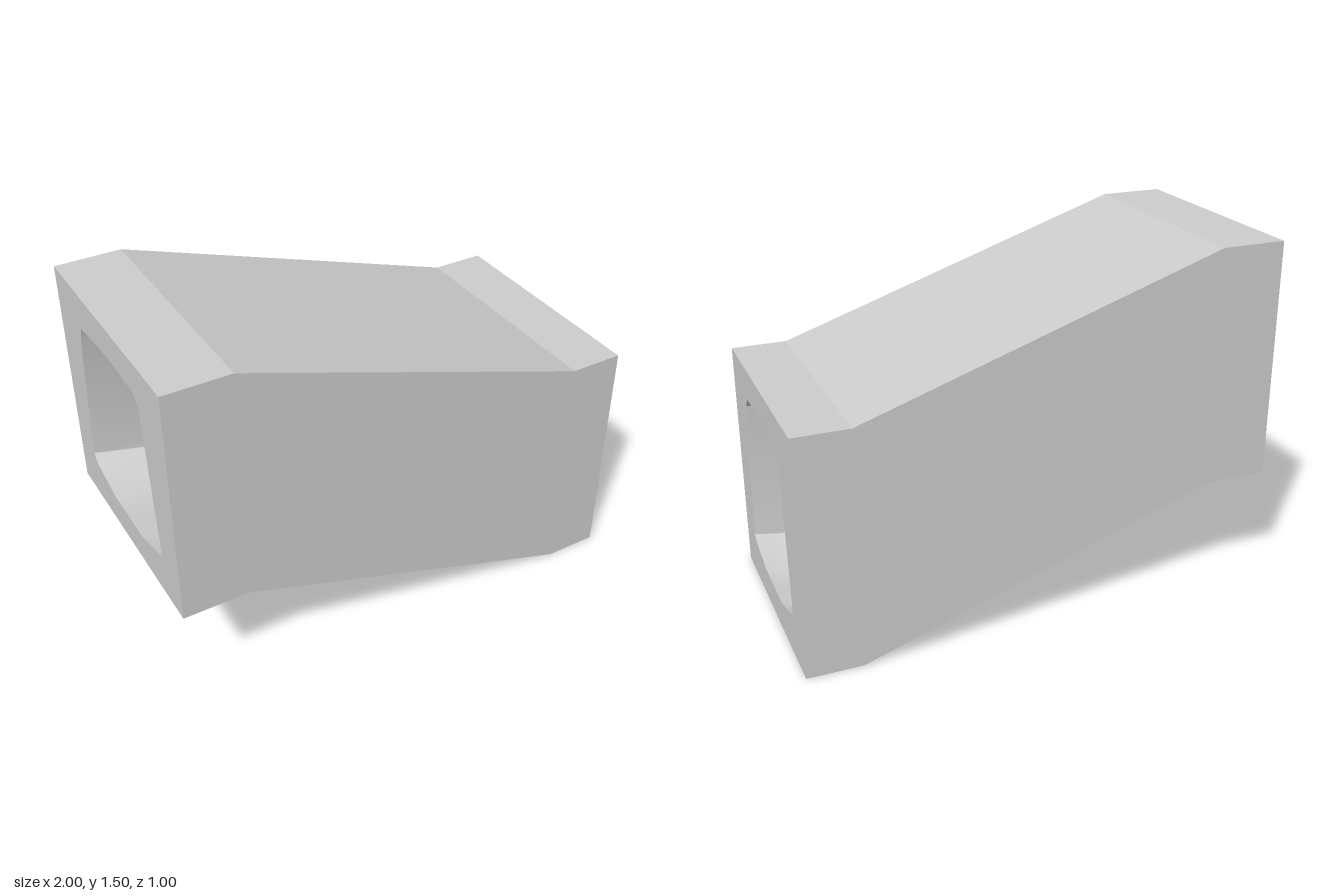
import * as THREE from 'three';
import { toCreasedNormals } from 'three/addons/utils/BufferGeometryUtils.js';

// Cross-sections are [z, y] loops relative to the duct's underside.
const OUTER = [[0.5, 0], [-0.5, 0], [-0.5, 1], [0.5, 1]];
const MOUTH = [[0, 0.13], [0.14, 0.13], [0.31, 0.175], [0.345, 0.195], [0.285, 0.82], [0.24, 0.865],
  [0, 0.875], [-0.26, 0.85], [-0.29, 0.78], [-0.345, 0.21], [-0.31, 0.175], [-0.14, 0.13]];
const THROAT = [[0, 0.1], [0.14, 0.133], [0.31, 0.175], [0.315, 0.195], [0.255, 0.8], [0.21, 0.835],
  [0, 0.845], [-0.23, 0.82], [-0.255, 0.76], [-0.315, 0.21], [-0.31, 0.175], [-0.14, 0.133]];
// Throat with its upper +z corner still as wide as the mouth: makes the small wall step
const STEP = THROAT.map((p, i) => (i === 4 || i === 5 ? MOUTH[i] : p));

// Skin a list of { x, rise, loop } rings
function loft(rings, crease) {
  const pos = [], index = [], n = rings[0].loop.length;
  for (const { x, rise, loop } of rings) {
    for (const [z, y] of loop) pos.push(x, y + rise, z);
  }
  for (let r = 0; r < rings.length - 1; r++) {
    for (let i = 0; i < n; i++) {
      const a = r * n + i, b = r * n + (i + 1) % n;
      index.push(a, b, b + n, a, b + n, a + n);
    }
  }
  const g = new THREE.BufferGeometry();
  g.setAttribute('position', new THREE.Float32BufferAttribute(pos, 3));
  g.setIndex(index);
  g.computeVertexNormals();
  return toCreasedNormals(g, crease);
}

// Square end face pierced by the tunnel mouth; side is +1 or -1 along x
function endFace(side, rise) {
  const pts = (loop) => loop.map(([z, y]) => new THREE.Vector2(-side * z, y + rise));
  const shape = new THREE.Shape(pts(OUTER));
  shape.holes.push(new THREE.Path(pts(MOUTH)));
  return new THREE.ShapeGeometry(shape).rotateY(side * Math.PI / 2).translate(side, 0, 0);
}

export function createModel() {
  const group = new THREE.Group();
  group.name = 'slopedTunnelBlock';
  const material = new THREE.MeshStandardMaterial({ color: 0xcccccc });
  const add = (name, geometry) => {
    const mesh = new THREE.Mesh(geometry, material);
    mesh.name = name;
    group.add(mesh);
  };

  // Outer casing: level end, sloping run, level end
  add('casing', loft([
    { x: -1, rise: 0.5, loop: OUTER },
    { x: -0.73, rise: 0.5, loop: OUTER },
    { x: 0.77, rise: 0, loop: OUTER },
    { x: 1, rise: 0, loop: OUTER },
  ], 0.2));

  // Tunnel running through the casing, narrowing behind each mouth
  add('tunnel', loft([
    { x: -1, rise: 0.5, loop: MOUTH },
    { x: -0.75, rise: 0.5, loop: STEP },
    { x: -0.73, rise: 0.5, loop: THROAT },
    { x: 0.77, rise: 0, loop: THROAT },
    { x: 1, rise: 0, loop: MOUTH },
  ], 0.6));

  add('upperEndFace', endFace(-1, 0.5));
  add('lowerEndFace', endFace(1, 0));
  return group;
}
